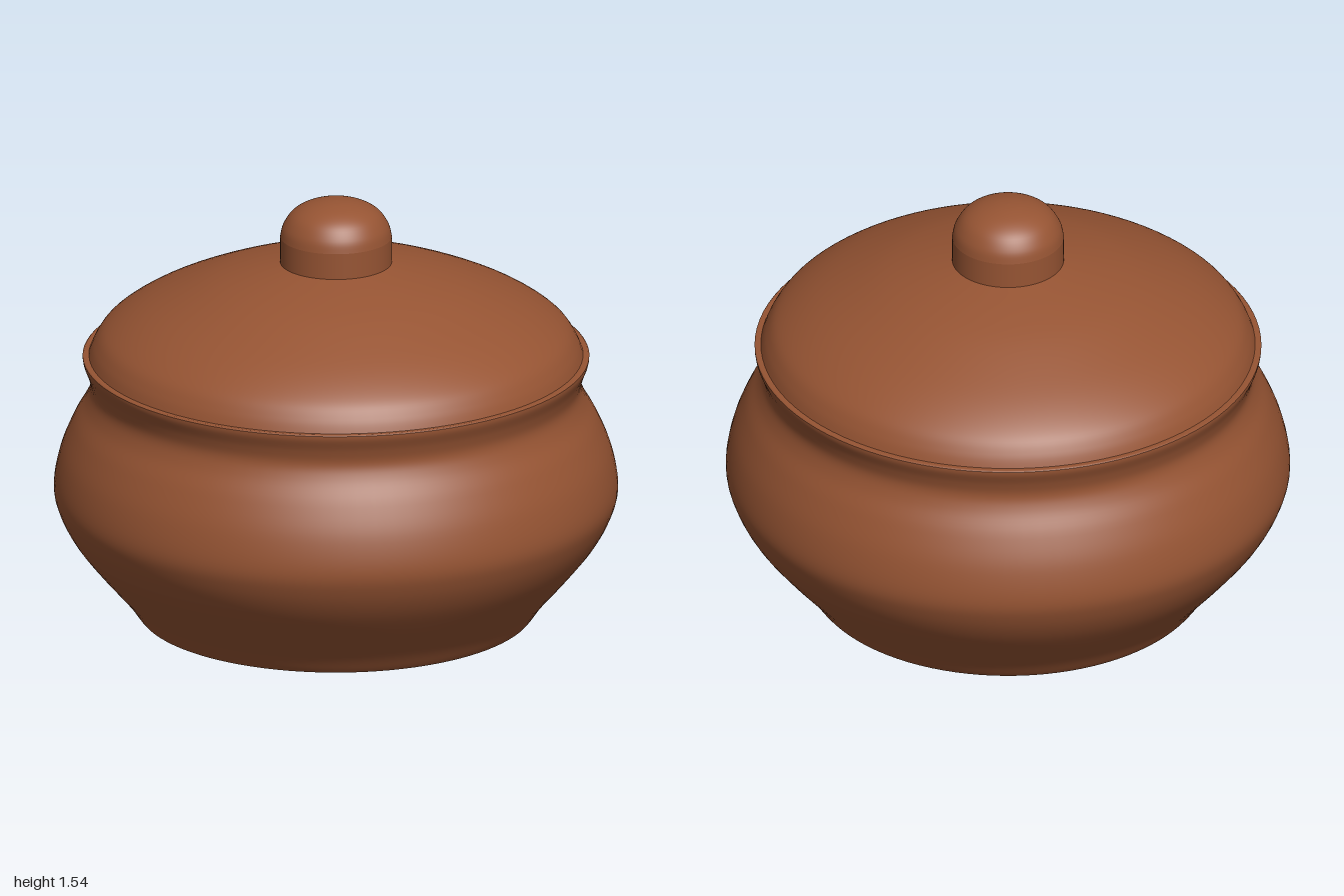
import * as THREE from 'three';

const SEGMENTS = 96;

// Smooth curve through a few [radius, height] points
function smooth(points, steps) {
  return new THREE.SplineCurve(points.map(([r, y]) => new THREE.Vector2(r, y)))
    .getPoints(steps)
    .map((p) => new THREE.Vector2(Math.max(p.x, 0), p.y));
}

export function createModel() {
  const group = new THREE.Group();
  group.name = 'lidded pot';
  const clay = new THREE.MeshStandardMaterial({ color: 0x965433 });
  clay.name = 'terracotta clay';

  function turn(name, profile) {
    const mesh = new THREE.Mesh(new THREE.LatheGeometry(profile, SEGMENTS), clay);
    mesh.name = name;
    group.add(mesh);
  }
  const line = (points) => points.map(([r, y]) => new THREE.Vector2(r, y));

  // Flat underside, barely raised towards its edge
  turn('base', line([[0, 0], [0.55, 0.003], [0.7, 0.01]]));

  // Foot, rounded belly, narrow neck and flared lip
  turn('body', smooth([
    [0.7, 0.01], [0.712, 0.025], [0.755, 0.085], [0.85, 0.195], [0.932, 0.3],
    [0.982, 0.395], [1, 0.48], [0.978, 0.6], [0.933, 0.71], [0.888, 0.79],
    [0.87, 0.845], [0.878, 0.895], [0.895, 0.94], [0.898, 0.96],
  ], 72));

  // Flat top of the lip, running under the lid
  turn('rim', line([[0.898, 0.96], [0.893, 0.965], [0.86, 0.962]]));

  // Domed lid
  turn('lid', smooth([
    [0.878, 0.958], [0.858, 1.005], [0.82, 1.057], [0.74, 1.115],
    [0.63, 1.172], [0.47, 1.238], [0.33, 1.28], [0.19, 1.312],
  ], 40));

  // Upright knob with a rounded top
  turn('knobStem', line([[0.198, 1.3], [0.198, 1.405]]));
  turn('knobTop', smooth([
    [0.198, 1.405], [0.188, 1.445], [0.158, 1.49], [0.11, 1.52], [0.05, 1.536], [0, 1.54],
  ], 24));

  return group;
}
